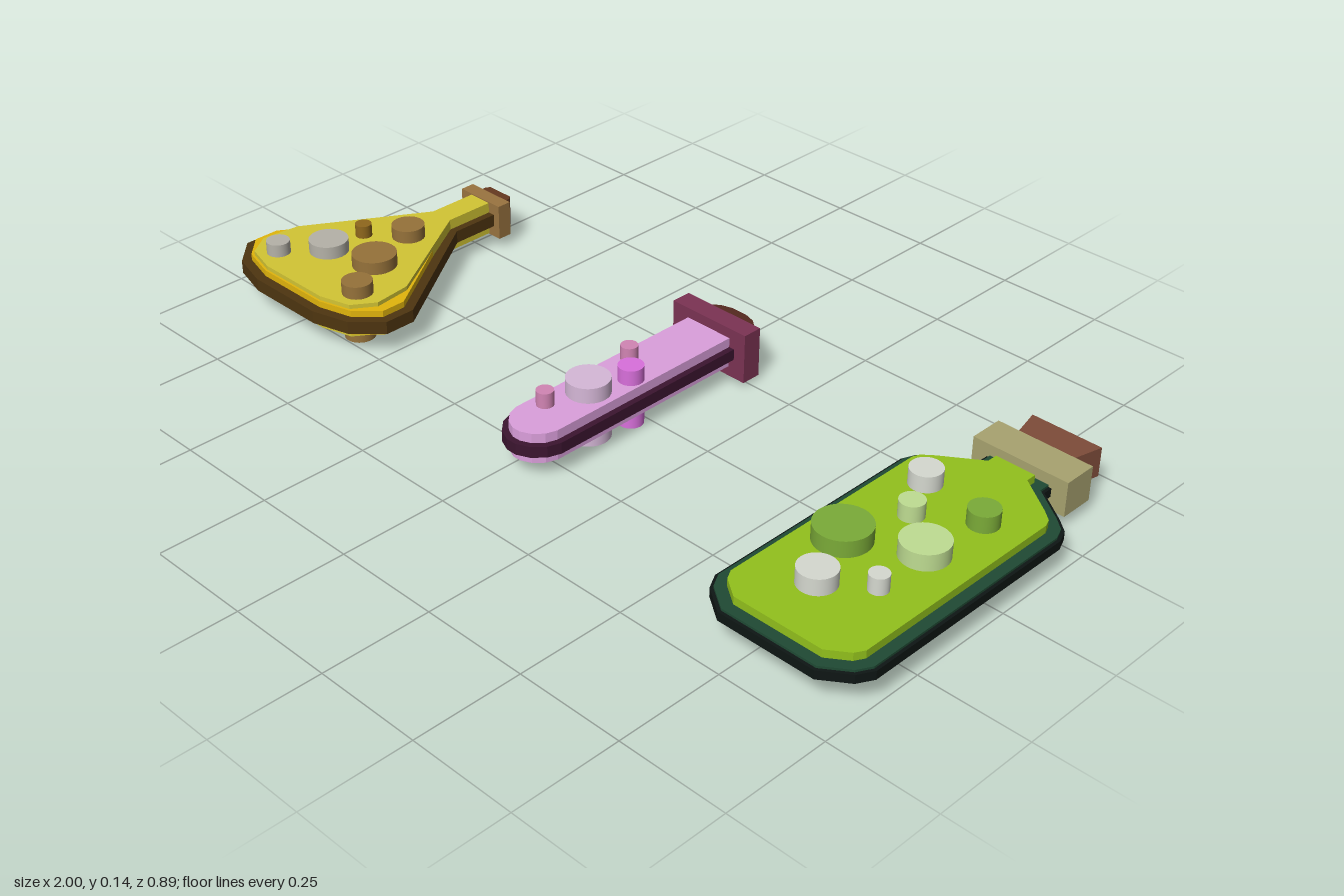
import * as THREE from 'three';

const MID = 0.07; // height of the shared middle plane

const material = (color) => new THREE.MeshStandardMaterial({ color });

// Mirrors a half profile of [half width, z] points into a closed outline
function outline(half) {
  const right = half.map(([x, z]) => new THREE.Vector2(x, -z));
  const left = half.map(([x, z]) => new THREE.Vector2(-x, -z)).reverse();
  return [...right, ...left];
}

// Moves every edge of a clockwise outline inwards by d
function inset(points, d) {
  const n = points.length;
  return points.map((p, i) => {
    const a = p.clone().sub(points[(i + n - 1) % n]).normalize();
    const b = points[(i + 1) % n].clone().sub(p).normalize();
    const na = new THREE.Vector2(a.y, -a.x);
    const nb = new THREE.Vector2(b.y, -b.x);
    const s = d / (1 + na.dot(nb));
    return p.clone().add(na.add(nb).multiplyScalar(s));
  });
}

// Flat slab lying in the ground plane, centred on the middle plane
function slab(name, points, thickness, color) {
  const geometry = new THREE.ExtrudeGeometry(new THREE.Shape(points), {
    depth: thickness, bevelEnabled: false,
  });
  geometry.translate(0, 0, -thickness / 2).rotateX(-Math.PI / 2);
  const mesh = new THREE.Mesh(geometry, material(color));
  mesh.name = name;
  mesh.position.y = MID;
  return mesh;
}

// Discs that poke out of both faces: [x, z, radius, color]
function bubbles(list) {
  const group = new THREE.Group();
  group.name = 'bubbles';
  for (const [x, z, r, color] of list) {
    const mesh = new THREE.Mesh(new THREE.CylinderGeometry(r, r, 0.14, 32), material(color));
    mesh.name = 'bubble';
    mesh.position.set(x, MID, z);
    group.add(mesh);
  }
  return group;
}

function vessel(name, x, parts) {
  const group = new THREE.Group();
  group.name = name;
  group.position.x = x;
  group.add(...parts);
  return group;
}

function createFlask() {
  const body = outline([[0.047, -0.29], [0.047, -0.155], [0.25, 0.15], [0.25, 0.225], [0.19, 0.285], [0.1, 0.31]]);
  const liquid = outline([[0.03, -0.28], [0.03, -0.15], [0.195, 0.12], [0.205, 0.21], [0.17, 0.262], [0.095, 0.283]]);
  const brown = 0x96723a, grey = 0xb5b2a8;
  return vessel('conicalFlask', -0.748, [
    slab('flaskRim', body, 0.03, 0x4e3510),
    slab('flaskGlass', inset(body, 0.022), 0.06, 0xe2b50c),
    slab('flaskLiquid', liquid, 0.08, 0xd3c534),
    slab('flaskCollar', outline([[0.065, -0.305], [0.065, -0.27]]), 0.085, 0x9a7440),
    slab('flaskStopper', outline([[0.034, -0.334], [0.041, -0.325], [0.041, -0.304]]), 0.07, 0x663a20),
    bubbles([
      [0.02, -0.033, 0.038, brown], [-0.055, 0.037, 0.019, 0x8f671c], [0.068, 0.106, 0.051, brown],
      [-0.055, 0.138, 0.045, grey], [-0.129, 0.224, 0.027, grey], [0.138, 0.212, 0.035, brown],
    ]),
  ]);
}

function createTestTube() {
  const body = outline([[0.075, -0.255], [0.075, 0.275], [0.065, 0.305], [0.042, 0.33], [0.013, 0.343]]);
  return vessel('testTube', 0.032, [
    slab('tubeRim', body, 0.026, 0x3c1530),
    slab('tubeLiquid', inset(body, 0.014), 0.07, 0xdb9fdc),
    slab('tubeCollar', outline([[0.105, -0.277], [0.105, -0.23]]), 0.117, 0x7c3354),
    slab('tubeStopper', outline([[0.02, -0.327], [0.047, -0.319], [0.064, -0.305], [0.072, -0.288], [0.072, -0.275]]), 0.07, 0x55291f),
    bubbles([
      [-0.03, -0.02, 0.019, 0xd285b4], [0.028, 0.033, 0.028, 0xd970dc],
      [0, 0.128, 0.048, 0xd6b8d8], [-0.027, 0.224, 0.019, 0xd285b4],
    ]),
  ]);
}

function createBottle() {
  const body = outline([
    [0.078, -0.31], [0.078, -0.27], [0.15, -0.22], [0.18, -0.195], [0.192, -0.165],
    [0.192, 0.37], [0.173, 0.405], [0.115, 0.446],
  ]);
  const green = 0x7bab38, pale = 0xbfdd92, white = 0xd6d9d0;
  return vessel('corkedBottle', 0.808, [
    slab('bottleRim', body, 0.02, 0x0e1614),
    slab('bottleGlass', inset(body, 0.007), 0.03, 0x1f4a34),
    slab('bottleLiquid', inset(body, 0.031), 0.066, 0x92c11c),
    slab('bottleCollar', outline([[0.114, -0.374], [0.114, -0.293]]), 0.08, 0xa8a370),
    slab('bottleCork', outline([[0.084, -0.448], [0.066, -0.372]]), 0.068, 0x7e4c39),
    bubbles([
      [-0.086, -0.107, 0.035, white], [0.074, -0.08, 0.033, green], [-0.038, -0.005, 0.027, pale],
      [0.058, 0.075, 0.051, pale], [-0.081, 0.144, 0.06, green], [0.064, 0.214, 0.021, white],
      [-0.027, 0.278, 0.041, white],
    ]),
  ]);
}

export function createModel() {
  const model = new THREE.Group();
  model.name = 'potionSet';
  model.add(createFlask(), createTestTube(), createBottle());
  return model;
}
